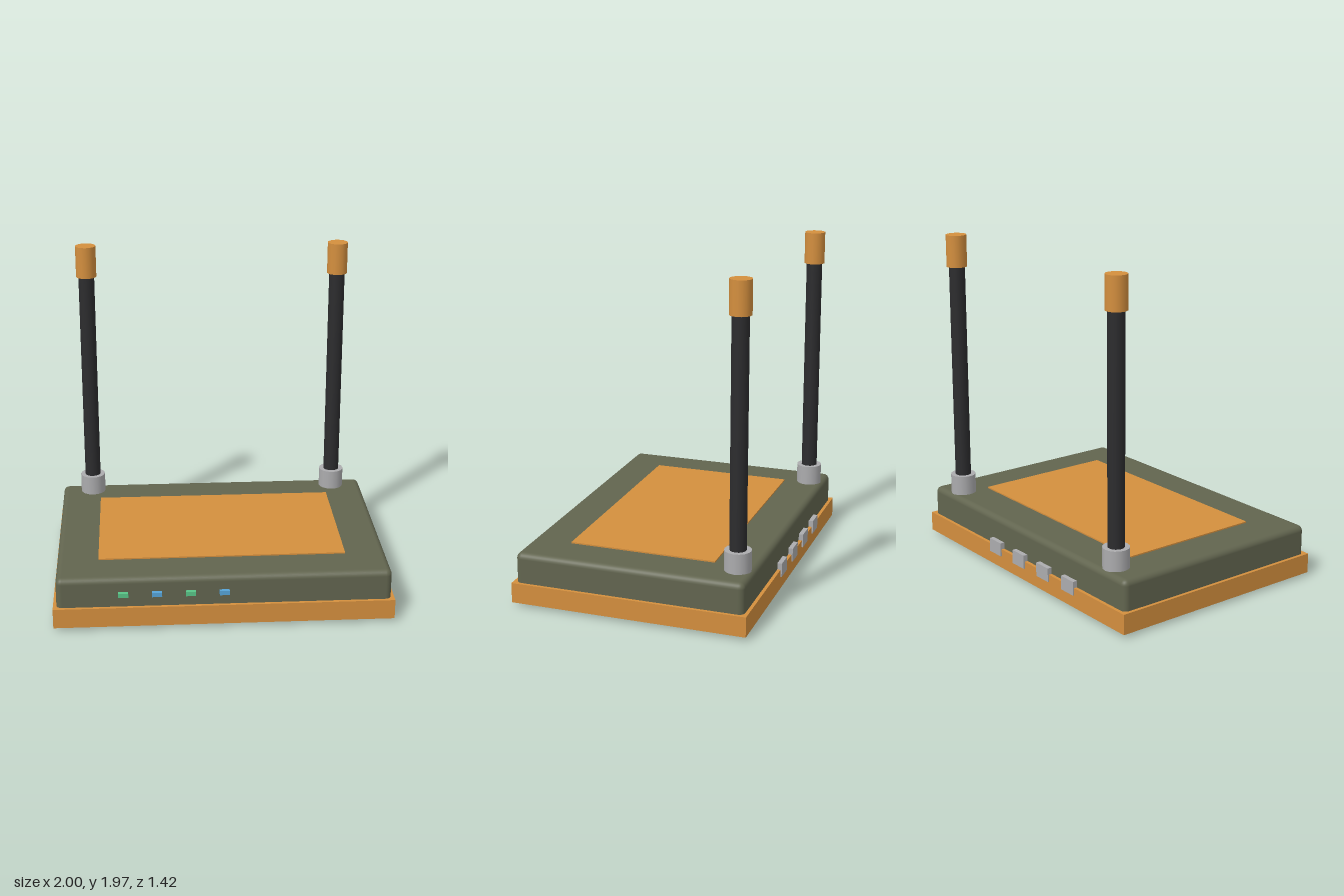
import * as THREE from 'three';
import { RoundedBoxGeometry } from 'three/addons/geometries/RoundedBoxGeometry.js';

const material = (name, color) => {
  const m = new THREE.MeshStandardMaterial({ color });
  m.name = name;
  return m;
};

export function createModel() {
  const group = new THREE.Group();
  group.name = 'router';
  const olive = material('olive casing', 0x62654f);
  const orange = material('orange trim', 0xd48f3e);
  const black = material('black rubber', 0x2c2c2e);
  const grey = material('grey metal', 0xacacae);
  const green = material('green light', 0x58c487);
  const blue = material('blue light', 0x56a4d8);

  const add = (name, geometry, mat, x, y, z, parent = group) => {
    const mesh = new THREE.Mesh(geometry, mat);
    mesh.name = name;
    mesh.position.set(x, y, z);
    parent.add(mesh);
    return mesh;
  };

  // Casing with softened edges, bumper band and top panel
  add('casing', new RoundedBoxGeometry(1.96, 0.32, 1.37, 3, 0.035), olive, 0, 0.16, 0);
  add('bumperBand', new THREE.BoxGeometry(2, 0.12, 1.41), orange, 0, 0.08, 0);
  add('topPanel', new THREE.BoxGeometry(1.47, 0.009, 0.88), orange, 0, 0.3235, 0);

  // Antennas, each stacked from collar, rod and tip
  for (const side of [-1, 1]) {
    const antenna = new THREE.Group();
    antenna.name = side < 0 ? 'rightAntenna' : 'leftAntenna';
    antenna.position.set(side * 0.785, 0, -0.59);
    group.add(antenna);
    const stack = (name, r, y0, y1, mat) =>
      add(name, new THREE.CylinderGeometry(r, r, y1 - y0, 16), mat, 0, (y0 + y1) / 2, 0, antenna);
    stack('collar', 0.078, 0.3, 0.44, grey);
    stack('rod', 0.049, 0.42, 1.79, black);
    stack('tip', 0.063, 1.77, 1.965, orange);
  }

  // Status lights on the front and sockets on the back
  for (let i = 0; i < 4; i++) {
    add('statusLight', new THREE.BoxGeometry(0.058, 0.027, 0.04), i % 2 ? blue : green,
      -0.59 + i * 0.196, 0.22, 0.688);
    add('socket', new THREE.BoxGeometry(0.116, 0.084, 0.05), grey,
      -0.49 + i * 0.245, 0.138, -0.688);
  }
  return group;
}
